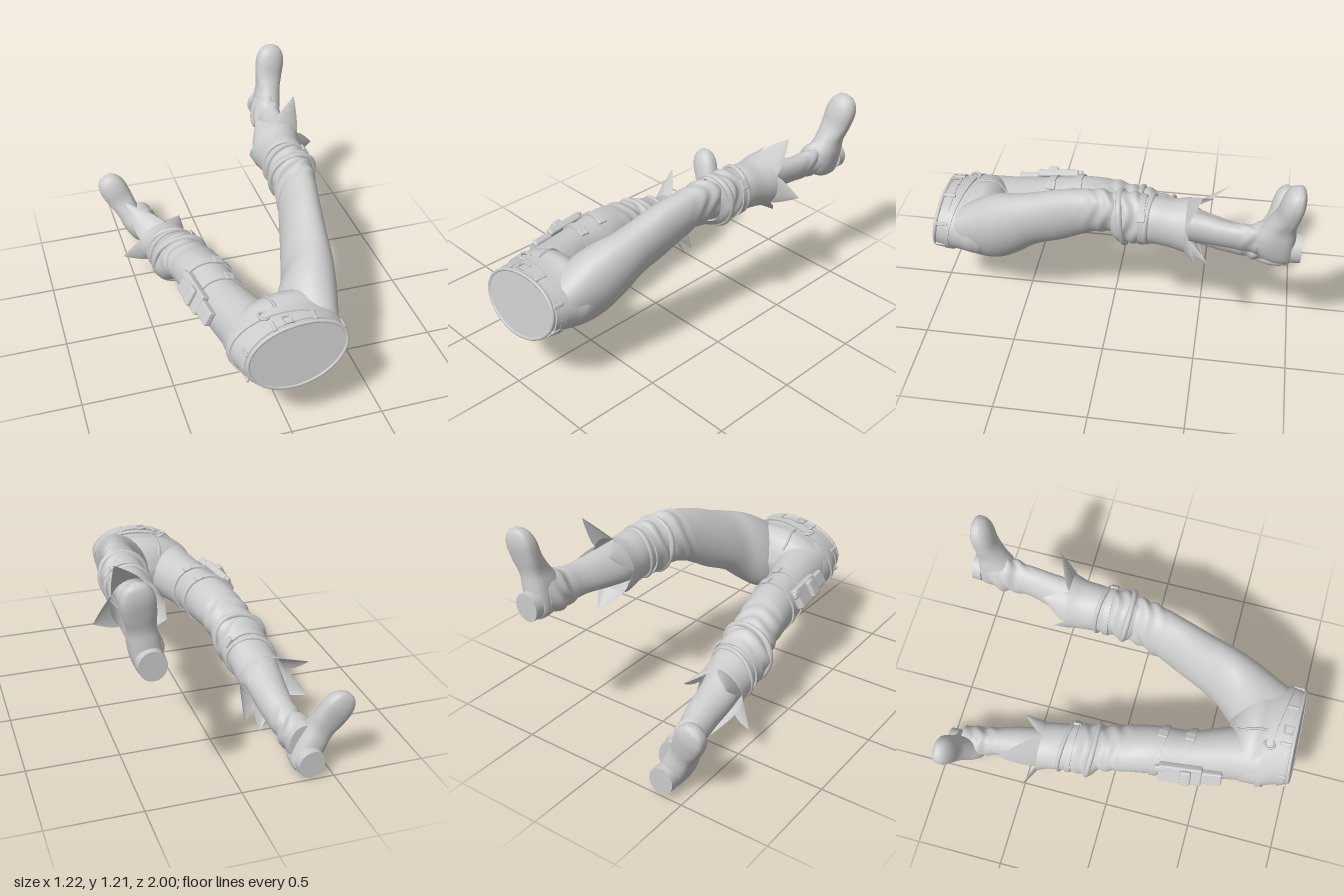
import * as THREE from 'three';
import { toCreasedNormals } from 'three/addons/utils/BufferGeometryUtils.js';
import { RoundedBoxGeometry } from 'three/addons/geometries/RoundedBoxGeometry.js';

const V = (x, y, z) => new THREE.Vector3(x, y, z);
const grey = new THREE.MeshStandardMaterial({ color: 0xcccccc });
const thin = new THREE.MeshStandardMaterial({ color: 0xcccccc, side: THREE.DoubleSide });
const SEG = 48;
const TAU = Math.PI * 2;

// Each body is a list of cross-sections: z, x min, x max, y min, y max.
const pelvis = { skew: 0.15, tilt: -0.14, st: [
  [0.972, -0.23, 0.285, 0.335, 0.69], [0.9, -0.255, 0.29, 0.32, 0.69], [0.82, -0.28, 0.30, 0.31, 0.69],
  [0.75, -0.285, 0.315, 0.30, 0.70], [0.69, -0.275, 0.30, 0.30, 0.67], [0.64, -0.19, 0.22, 0.33, 0.61],
  [0.6, -0.06, 0.09, 0.41, 0.53]] };
const leftLeg = { skew: 0.35, tilt: 0, st: [
  [0.85, 0.02, 0.285, 0.34, 0.65], [0.7, 0.0, 0.33, 0.31, 0.75], [0.6, 0.025, 0.355, 0.34, 0.80],
  [0.5, 0.09, 0.37, 0.42, 0.835], [0.4, 0.125, 0.38, 0.505, 0.87], [0.25, 0.17, 0.40, 0.58, 0.93],
  [0.1, 0.21, 0.425, 0.67, 0.97], [0, 0.23, 0.44, 0.71, 0.985], [-0.08, 0.25, 0.45, 0.71, 0.96],
  [-0.2, 0.255, 0.46, 0.715, 0.95], [-0.4, 0.28, 0.465, 0.73, 0.94], [-0.5, 0.31, 0.47, 0.735, 0.93],
  [-0.65, 0.355, 0.49, 0.745, 0.915], [-0.75, 0.36, 0.50, 0.735, 0.925], [-0.83, 0.35, 0.515, 0.735, 0.96],
  [-0.9, 0.37, 0.52, 0.75, 0.97]] };
const rightLeg = { skew: 0, tilt: 0, st: [
  [0.8, -0.27, 0.02, 0.33, 0.64], [0.65, -0.29, 0.015, 0.31, 0.63], [0.55, -0.31, -0.02, 0.315, 0.62],
  [0.4, -0.335, -0.075, 0.32, 0.61], [0.2, -0.375, -0.10, 0.33, 0.61], [0.05, -0.40, -0.13, 0.33, 0.58],
  [-0.05, -0.41, -0.15, 0.29, 0.55], [-0.12, -0.41, -0.17, 0.26, 0.52], [-0.3, -0.43, -0.19, 0.22, 0.46],
  [-0.45, -0.43, -0.22, 0.18, 0.38], [-0.6, -0.42, -0.24, 0.13, 0.33], [-0.75, -0.43, -0.27, 0.08, 0.28],
  [-0.83, -0.46, -0.28, 0.05, 0.275], [-0.9, -0.45, -0.29, 0.06, 0.27]] };
const leftCuff = { skew: 0.1, tilt: 0, st: [
  [-0.04, 0.25, 0.45, 0.72, 0.97], [-0.08, 0.23, 0.475, 0.69, 0.98], [-0.14, 0.24, 0.475, 0.69, 0.985],
  [-0.2, 0.245, 0.475, 0.70, 0.965], [-0.27, 0.24, 0.48, 0.70, 0.97], [-0.35, 0.235, 0.49, 0.69, 0.965],
  [-0.42, 0.225, 0.51, 0.675, 0.98]] };
const rightCuff = { skew: 0.1, tilt: 0, st: [
  [-0.07, -0.41, -0.16, 0.28, 0.53], [-0.11, -0.44, -0.155, 0.24, 0.53], [-0.17, -0.445, -0.16, 0.22, 0.515],
  [-0.23, -0.435, -0.17, 0.215, 0.485], [-0.29, -0.445, -0.18, 0.205, 0.465], [-0.36, -0.45, -0.185, 0.185, 0.44],
  [-0.42, -0.47, -0.19, 0.155, 0.425]] };

// Smooth interpolation of a cross-section at z.
function sectionAt(st, z) {
  let i = 0;
  while (i < st.length - 2 && z < st[i + 1][0]) i++;
  const a = st[i], b = st[i + 1], p = st[Math.max(i - 1, 0)], n = st[Math.min(i + 2, st.length - 1)];
  const h = b[0] - a[0], t = THREE.MathUtils.clamp((z - a[0]) / h, 0, 1), u = 1 - t;
  return a.map((v, k) => {
    const m0 = (b[k] - p[k]) / (b[0] - p[0]) * h, m1 = (n[k] - v) / (n[0] - a[0]) * h;
    return v * (1 + 2 * t) * u * u + m0 * t * u * u + b[k] * t * t * (3 - 2 * t) - m1 * t * t * u;
  });
}

function pointOn(body, z, a, off = 0) {
  const [, x0, x1, y0, y1] = sectionAt(body.st, z);
  const y = ((y1 - y0) / 2 + off) * Math.sin(a + body.skew);
  return V((x0 + x1) / 2 + ((x1 - x0) / 2 + off) * Math.cos(a), (y0 + y1) / 2 + y, z + body.tilt * y);
}

const ring = f => Array.from({ length: SEG }, (_, j) => f(j / SEG * TAU));
const shrink = r => {
  const c = r.reduce((s, p) => s.add(p), V(0, 0, 0)).divideScalar(r.length);
  return r.map(p => p.clone().lerp(c, 0.999));
};

// Skin over closed rings of points.
function skin(rings, crease) {
  const idx = [];
  for (let i = 0; i < rings.length - 1; i++) for (let j = 0; j < SEG; j++) {
    const k = (j + 1) % SEG, a = i * SEG + j, b = a + SEG, c = i * SEG + k, d = c + SEG;
    idx.push(a, b, c, c, b, d);
  }
  const g = new THREE.BufferGeometry().setFromPoints(rings.flat());
  g.setIndex(idx);
  g.computeVertexNormals();
  return crease ? toCreasedNormals(g, crease) : g;
}

// Cloth body; each fold is a wrinkled zone: z, depth, spread.
function bodyGeometry(body, { folds = [], caps = true, steps = 80 } = {}) {
  const z0 = body.st[0][0], z1 = body.st.at(-1)[0], rings = [];
  for (let i = 0; i <= steps; i++) {
    const z = z0 + (z1 - z0) * i / steps;
    const w = folds.reduce((s, [f, depth, spread]) => s + depth * Math.exp(-(((z - f) / spread) ** 2)), 0);
    rings.push(ring(a => pointOn(body, z, a, w * Math.sin(z * 70 + 2.5 * Math.sin(a + 1) + 1.3 * Math.sin(3 * a)))));
  }
  if (caps) { rings.unshift(shrink(rings[0])); rings.push(shrink(rings.at(-1))); }
  return skin(rings, caps ? 0.9 : 0);
}

// Flat strap hugging a body.
function strapGeometry(body, z, width, thick, slant = 0) {
  const row = (dz, off) => ring(a => pointOn(body, z + dz + slant * Math.cos(a), a, off));
  const h = width / 2;
  return skin([row(h, -0.01), row(h, thick), row(-h, thick), row(-h, -0.01)], 0.7);
}

// Round rolled fold hugging a body.
function rollGeometry(body, z, r, slant = 0, phase = 0) {
  const pts = ring(a => pointOn(body, z + slant * Math.sin(a + phase), a, 0.004 * Math.sin(3 * a + phase)));
  return new THREE.TubeGeometry(new THREE.CatmullRomCurve3(pts, true), 64, r, 8, true);
}

// Torn flaps along the open end of a cuff: angle in degrees and tip.
function jagGeometry(body, tips) {
  const z = body.st.at(-1)[0], pos = [], rows = 6, n = 8;
  tips.forEach(([deg, ...tip], i) => {
    const prev = tips.at(i - 1)[0] - (i ? 0 : 360), next = tips[(i + 1) % tips.length][0] + (i === tips.length - 1 ? 360 : 0);
    const a0 = (prev + deg) / 2, a1 = (deg + next) / 2;
    const base = k => pointOn(body, z, THREE.MathUtils.degToRad(a0 + (a1 - a0) * k / n));
    const mid = base(n / 2), reach = V(...tip).sub(mid);
    const at = (r, k) => mid.clone().addScaledVector(reach, r / rows).addScaledVector(base(k).sub(mid), 1 - (r / rows) ** 1.4);
    for (let r = 0; r < rows; r++) for (let k = 0; k < n; k++) {
      pos.push(at(r, k), at(r + 1, k), at(r, k + 1));
      if (r < rows - 1) pos.push(at(r, k + 1), at(r + 1, k), at(r + 1, k + 1));
    }
  });
  const g = new THREE.BufferGeometry().setFromPoints(pos);
  g.computeVertexNormals();
  return toCreasedNormals(g, 0.9);
}

// Boot foot: distance from heel, half width, sole z, upper z.
const footSections = [[0, 0.04, -0.965, -0.86], [0.02, 0.062, -0.97, -0.80], [0.09, 0.076, -0.97, -0.76],
  [0.17, 0.076, -0.968, -0.765], [0.24, 0.07, -0.965, -0.81], [0.32, 0.08, -0.98, -0.855],
  [0.40, 0.083, -0.993, -0.875], [0.45, 0.068, -0.99, -0.895], [0.48, 0.042, -0.98, -0.92], [0.49, 0.014, -0.965, -0.94]];

export function createModel() {
  const model = new THREE.Group();
  const add = (name, geo, parent = model, mat = grey) => {
    const m = new THREE.Mesh(geo, mat);
    m.name = name;
    parent.add(m);
    return m;
  };

  // Hips, belts and front seam
  add('hips', bodyGeometry(pelvis));
  add('waistBelt', strapGeometry(pelvis, 0.93, 0.04, 0.008));
  add('waistRim', rollGeometry(pelvis, 0.968, 0.01));
  add('slantedBelt', strapGeometry(pelvis, 0.86, 0.032, 0.01, 0.045));
  for (let i = 0; i < 8; i++) {
    const a = (i + 0.5) / 8 * TAU, loop = add('beltLoop', new RoundedBoxGeometry(0.02, 0.016, 0.065, 2, 0.006));
    loop.position.copy(pointOn(pelvis, 0.93, a, 0.007));
    loop.rotation.z = a - Math.PI / 2;
  }
  const buckle = add('beltBuckle', new THREE.TorusGeometry(0.032, 0.007, 6, 4));
  buckle.position.copy(pointOn(pelvis, 0.93, 1.68, 0.01));
  buckle.rotation.set(-Math.PI / 2, 0, Math.PI / 4);
  const roundBuckle = add('roundBuckle', new THREE.TorusGeometry(0.026, 0.008, 8, 20));
  roundBuckle.position.copy(pointOn(pelvis, 0.845, 1.98, 0.01));
  roundBuckle.rotation.set(-Math.PI / 2, 0.2, 0);
  add('frontSeam', new THREE.TubeGeometry(new THREE.CatmullRomCurve3(
    [0.82, 0.77, 0.73, 0.69, 0.65].map(z => pointOn(pelvis, z, 1.72 + (0.82 - z) * 0.7, 0.002))), 20, 0.008, 6));

  // Legs with boots and torn cuffs
  const legs = [
    { side: 'left', leg: leftLeg, cuff: leftCuff, knee: 0, heel: [0.435, 0.73], toe: [0.515, 1.21], rolls: [-0.09, -0.235], strap: -0.195,
      tips: [[-15, 0.61, 0.79, -0.48], [62, 0.50, 1.10, -0.50], [135, 0.29, 0.95, -0.55], [205, 0.23, 0.76, -0.48], [278, 0.39, 0.60, -0.54]] },
    { side: 'right', leg: rightLeg, cuff: rightCuff, knee: -0.03, heel: [-0.34, 0.03], toe: [-0.56, 0.455], rolls: [-0.125, -0.28], strap: -0.24,
      tips: [[35, -0.19, 0.36, -0.56], [125, -0.50, 0.47, -0.62], [195, -0.56, 0.18, -0.49], [265, -0.28, 0.01, -0.51], [320, -0.20, 0.07, -0.50]] }];
  for (const { side, leg, cuff, knee, heel, toe, rolls, strap, tips } of legs) {
    const g = new THREE.Group();
    g.name = side + 'Leg';
    model.add(g);
    add('trouserAndShaft', bodyGeometry(leg, { folds: [[knee, 0.007, 0.09], [-0.79, 0.008, 0.07]], steps: 140 }), g);
    add('bootCuff', bodyGeometry(cuff, { folds: [[-0.13, 0.008, 0.07]], caps: false, steps: 40 }), g, thin);
    add('tornEdge', jagGeometry(cuff, tips), g, thin);
    rolls.forEach((z, i) => add('cuffFold', rollGeometry(cuff, z, 0.017 - 0.004 * i, 0.018, i * 1.7), g));
    add('cuffStrap', strapGeometry(cuff, strap, 0.032, 0.01), g);
    const cuffBuckle = add('cuffBuckle', new RoundedBoxGeometry(0.016, 0.055, 0.045, 2, 0.006), g);
    cuffBuckle.position.copy(pointOn(cuff, strap, 0.6, 0.01));
    cuffBuckle.rotation.z = 0.6;

    // Foot lofted from heel to toe, flattened on the sole side
    const dir = V(toe[0] - heel[0], toe[1] - heel[1], 0).normalize(), across = V(dir.y, -dir.x, 0);
    const footRing = (d, w, z0, z1) => ring(a => {
      const s = Math.sin(a), h = s < 0 ? -Math.sqrt(-s) : s;
      return V(heel[0], heel[1], (z0 + z1) / 2 + (z1 - z0) / 2 * h)
        .addScaledVector(dir, d).addScaledVector(across, w * Math.cos(a));
    });
    const st = footSections.map(([d, ...r]) => [-d, ...r]), rings = [];
    for (let i = 0; i <= 36; i++) {
      const [d, ...r] = sectionAt(st, -0.49 * i / 36);
      rings.push(footRing(-d, ...r));
    }
    add('bootFoot', skin([shrink(rings[0]), ...rings, shrink(rings.at(-1))], 1.0), g);
    const turn = new THREE.Group();
    turn.name = 'heelBlock';
    turn.position.set(heel[0], heel[1], -0.975).addScaledVector(dir, 0.078);
    turn.rotation.z = Math.atan2(-dir.x, dir.y);
    turn.scale.y = 1.1;
    add('bootHeel', new THREE.CylinderGeometry(0.072, 0.07, 0.05, 24), turn).rotation.x = Math.PI / 2;
    g.add(turn);
  }

  // Thigh straps and holster on the right leg
  for (const z of [0.25, 0.4]) {
    add('thighStrap', strapGeometry(rightLeg, z, 0.04, 0.01, 0.01));
    const b = add('thighBuckle', new RoundedBoxGeometry(0.05, 0.016, 0.055, 2, 0.006));
    b.position.copy(pointOn(rightLeg, z, 1.2, 0.011));
    b.rotation.z = 1.2 - Math.PI / 2;
  }
  const holster = new THREE.Group();
  holster.name = 'holster';
  holster.position.set(-0.35, 0.535, 0.4);
  holster.rotation.set(0, 0.12, -0.5);
  model.add(holster);
  const box = (name, w, h, d, x, y, z) => add(name, new RoundedBoxGeometry(w, h, d, 3, 0.012), holster).position.set(x, y, z);
  box('holsterBody', 0.045, 0.12, 0.24, 0, 0, -0.01);
  box('holsterEnd', 0.04, 0.085, 0.13, 0.005, -0.005, 0.155);
  box('holsterFlap', 0.035, 0.1, 0.06, -0.028, 0, 0.02);
  box('handle', 0.028, 0.04, 0.07, -0.01, 0.03, -0.12);
  return model;
}
